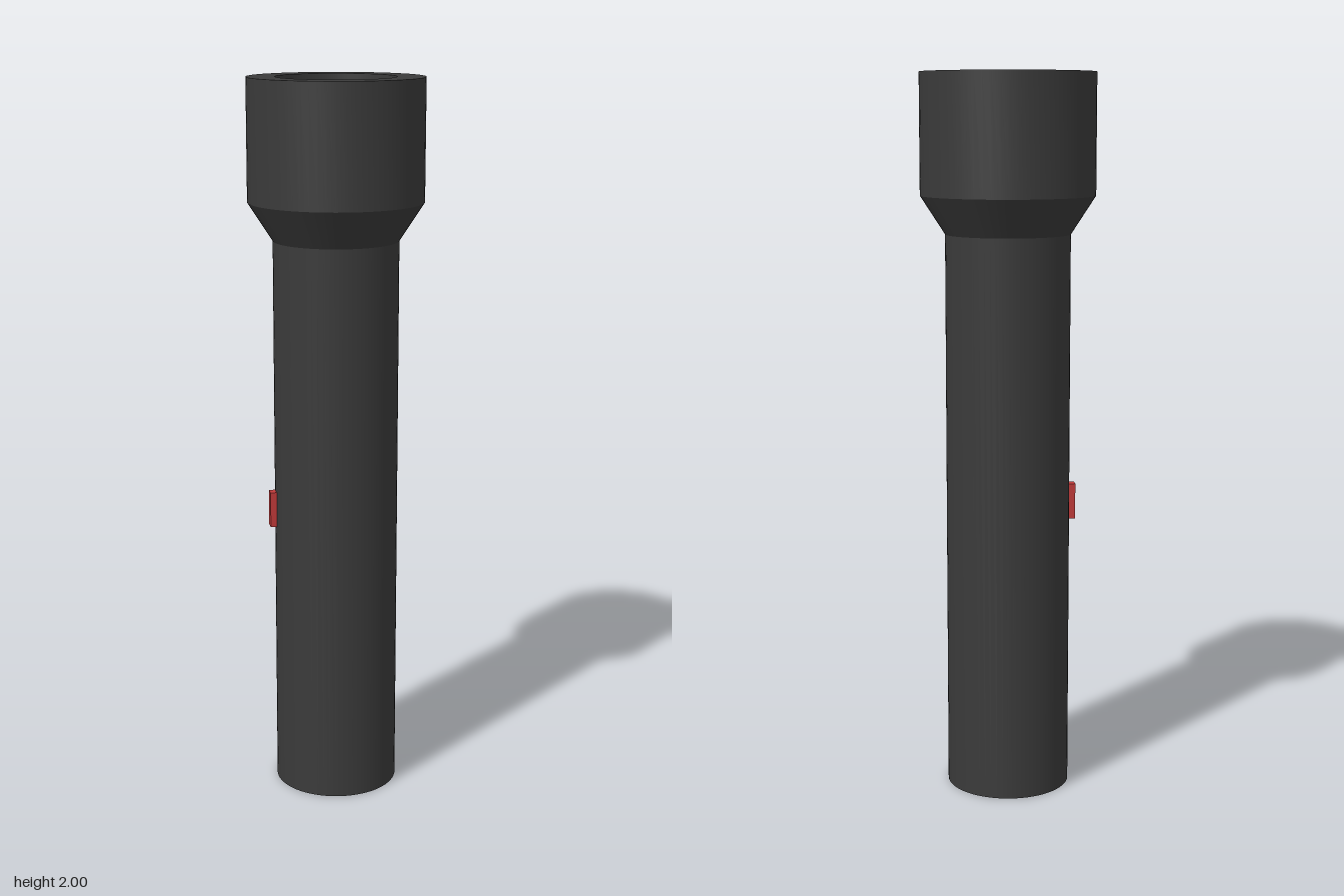
import * as THREE from 'three';
import { toCreasedNormals } from 'three/addons/utils/BufferGeometryUtils.js';

const SEGMENTS = 64;
const BODY_R = 0.172, HEAD_R = 0.24, BORE_R = 0.163;
const NECK_Y = 1.565, HEAD_Y = 1.67, LENS_Y = 1.87, TOP_Y = 2;

const black = new THREE.MeshStandardMaterial({ color: 0x3a3a3a });
const glass = new THREE.MeshStandardMaterial({ color: 0xcccccc });
const red = new THREE.MeshStandardMaterial({ color: 0xc03a3a });

function addMesh(group, name, geometry, material) {
  const mesh = new THREE.Mesh(geometry, material);
  mesh.name = name;
  group.add(mesh);
  return mesh;
}

// Revolved profile of [radius, height] pairs with crisp rims
function turned(profile) {
  const points = profile.map(([r, y]) => new THREE.Vector2(r, y));
  return toCreasedNormals(new THREE.LatheGeometry(points, SEGMENTS), 0.4);
}

export function createModel() {
  const model = new THREE.Group();
  model.name = 'flashlight';

  // Straight handle tube, closed at the bottom
  addMesh(model, 'handle', turned([[0, 0], [BODY_R, 0], [BODY_R, NECK_Y]]), black);

  // Flared neck, wide head, flat rim and recessed bore
  addMesh(model, 'head', turned([
    [BODY_R, NECK_Y], [HEAD_R, HEAD_Y], [HEAD_R, TOP_Y], [BORE_R, TOP_Y], [BORE_R, LENS_Y],
  ]), black);

  // Lens set down inside the bore
  const lens = addMesh(model, 'lens', new THREE.CircleGeometry(BORE_R, SEGMENTS), glass);
  lens.rotation.x = -Math.PI / 2;
  lens.position.y = LENS_Y;

  // Small switch on the right side of the handle
  const button = addMesh(model, 'switchButton', new THREE.BoxGeometry(0.04, 0.1, 0.03), red);
  button.position.set(-0.169, 0.815, 0);

  return model;
}
